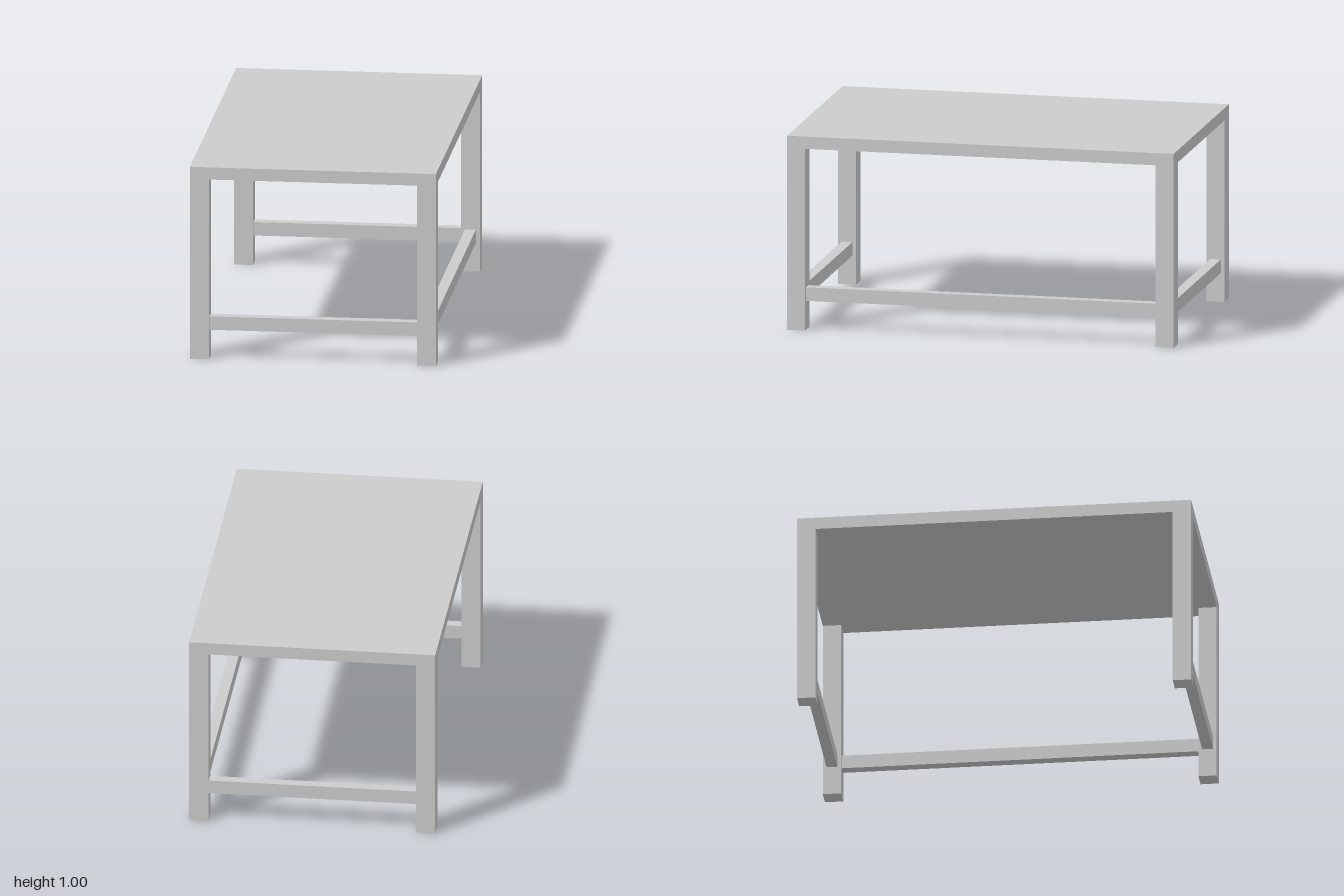
import * as THREE from 'three';

export function createModel() {
  const table = new THREE.Group();
  table.name = 'table';
  const material = new THREE.MeshStandardMaterial({ color: 0xcccccc });

  const W = 1.25, D = 2, H = 1;         // overall size
  const topT = 0.063;                   // tabletop thickness
  const legW = 0.097, legD = 0.093;     // leg section
  const railT = 0.055, railH = 0.07, railY = 0.184; // stretcher section and height

  const box = (name, w, h, d, x, y, z) => {
    const mesh = new THREE.Mesh(new THREE.BoxGeometry(w, h, d), material);
    mesh.name = name;
    mesh.position.set(x, y, z);
    table.add(mesh);
  };

  // Solid top slab
  box('tabletop', W, topT, D, 0, H - topT / 2, 0);

  // Four corner legs, flush with the edges of the top
  const legX = (W - legW) / 2, legZ = (D - legD) / 2, legH = H - topT;
  for (const sz of [1, -1]) {
    const end = sz > 0 ? 'front' : 'back';
    for (const sx of [1, -1]) {
      box(`${end}${sx > 0 ? 'Left' : 'Right'}Leg`, legW, legH, legD, sx * legX, legH / 2, sz * legZ);
    }
    // Short stretcher centred between the legs of each end
    box(`${end}Stretcher`, W - 2 * legW, railH, railT, 0, railY, sz * legZ);
  }

  // Single long stretcher; the other long side stays open
  box('sideStretcher', railT, railH, D - 2 * legD, legX, railY, 0);

  return table;
}
